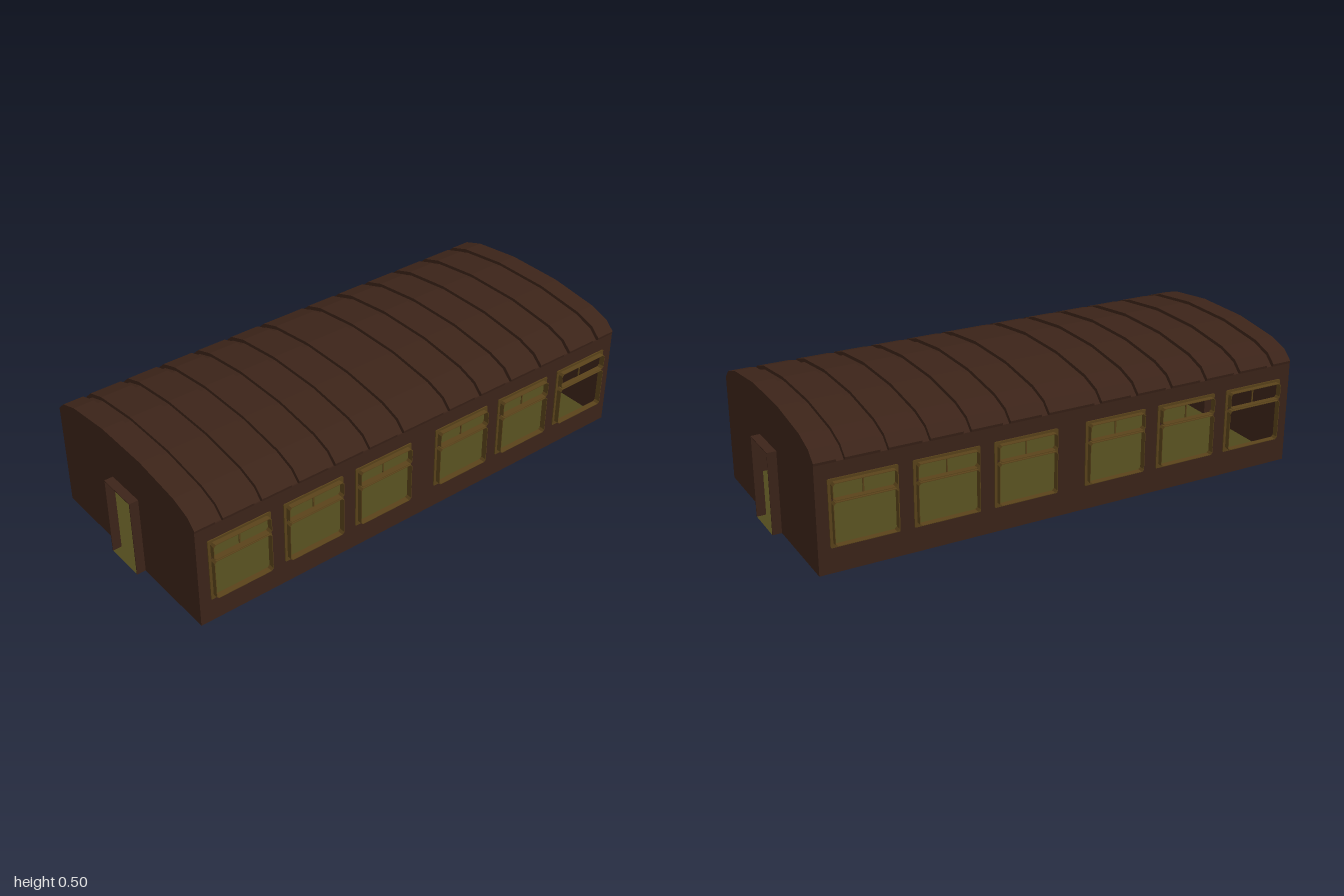
import * as THREE from 'three';

const mat = (color) => new THREE.MeshStandardMaterial({ color, flatShading: true, side: THREE.DoubleSide });

// Rectangle with small chamfered corners
function rect(cx, y0, y1, halfW, c, Kind = THREE.Path) {
  const a = cx - halfW, b = cx + halfW;
  const pts = [[a + c, y0], [b - c, y0], [b, y0 + c], [b, y1 - c], [b - c, y1], [a + c, y1], [a, y1 - c], [a, y0 + c]];
  return new Kind(pts.map(([x, y]) => new THREE.Vector2(x, y)));
}

export function createModel() {
  const model = new THREE.Group();
  const brown = mat(0x3c2419), brass = mat(0x5a431a), olive = mat(0x50491c);
  const L = 0.965, W = 0.435, doorW = 0.08, doorH = 0.312;
  const add = (parent, name, geo, material) => {
    const m = new THREE.Mesh(geo, material);
    m.name = name;
    parent.add(m);
    return m;
  };

  // Half roof section as [z, y], eave to crown, then mirrored
  const half = [[W, 0.4], [0.437, 0.41], [0.4, 0.445], [0.32, 0.472], [0.12, 0.497]];
  const outer = [...half, ...half.slice().reverse().map(([z, y]) => [-z, y])];
  const inner = outer.map(([z, y], i) => (i === 0 || i === outer.length - 1 ? [z, y] : [z * 0.975, y - 0.012]));

  // Roof: sections lofted along x, dropping into narrow grooves
  const stations = [[-L, outer]];
  for (const x of [-0.87, -0.715, -0.563, -0.41, -0.26, -0.107, 0.107, 0.26, 0.41, 0.563, 0.715, 0.87]) {
    stations.push([x - 0.015, outer], [x - 0.015, inner], [x + 0.015, inner], [x + 0.015, outer]);
  }
  stations.push([L, outer]);
  const pos = [], idx = [], n = outer.length;
  stations.forEach(([x, section], s) => {
    section.forEach(([z, y], i) => {
      pos.push(x, y, z);
      if (s && i) {
        const a = (s - 1) * n + i - 1, b = s * n + i - 1;
        idx.push(a, b, b + 1, a, b + 1, a + 1);
      }
    });
  });
  const roof = new THREE.BufferGeometry();
  roof.setAttribute('position', new THREE.Float32BufferAttribute(pos, 3));
  roof.setIndex(idx);
  roof.computeVertexNormals();
  add(model, 'roof', roof, brown);

  // Side walls with windows
  const windows = [-0.795, -0.49, -0.183, 0.183, 0.49, 0.795];
  const panes = [[0.107, 0.266], [0.273, 0.335]];
  for (const side of [0, 1]) {
    const wall = new THREE.Group();
    wall.name = side ? 'backSide' : 'frontSide';
    wall.rotation.y = side * Math.PI;
    model.add(wall);

    const shape = rect(0, 0, 0.402, L, 0, THREE.Shape);
    for (const x of windows) for (const [a, b] of panes) shape.holes.push(rect(x, a, b, 0.115, 0.008));
    add(wall, 'sideWall', new THREE.ShapeGeometry(shape), brown).position.z = W;

    for (const x of windows) {
      // Flat surround against the wall
      const trim = rect(x, 0.095, 0.345, 0.126, 0.003, THREE.Shape);
      trim.holes.push(rect(x, 0.107, 0.335, 0.115, 0.008));
      add(wall, 'windowTrim', new THREE.ExtrudeGeometry(trim, { depth: 0.004, bevelEnabled: false }), brass).position.z = W;
      // Projecting sleeve around each pane
      for (const [a, b] of panes) {
        const sleeve = rect(x, a - 0.001, b + 0.001, 0.116, 0.008, THREE.Shape);
        sleeve.holes.push(rect(x, a + 0.001, b - 0.001, 0.114, 0.008));
        add(wall, 'windowSleeve', new THREE.ExtrudeGeometry(sleeve, { depth: 0.023, bevelEnabled: false }), brass).position.z = W;
      }
      // Upright dividing the upper pane
      add(wall, 'windowMullion', new THREE.BoxGeometry(0.005, 0.062, 0.004), brass).position.set(x, 0.304, W);
    }
  }

  // End walls with doorways and projecting door surrounds
  for (const s of [-1, 1]) {
    const end = new THREE.Group();
    end.name = s > 0 ? 'leftEnd' : 'rightEnd';
    end.rotation.y = s * Math.PI / 2;
    model.add(end);
    const outline = [[W, 0], ...outer, [-W, 0], [-doorW, 0], [-doorW, doorH], [doorW, doorH], [doorW, 0]];
    const shape = new THREE.Shape(outline.map(([z, y]) => new THREE.Vector2(z, y)));
    add(end, 'endWall', new THREE.ShapeGeometry(shape), brown).position.z = L;
    const t = 0.003, w = doorW + t, h = doorH + t;
    const surround = new THREE.Shape([[-w, 0], [-doorW, 0], [-doorW, doorH], [doorW, doorH], [doorW, 0], [w, 0], [w, h], [-w, h]]
      .map(([x, y]) => new THREE.Vector2(x, y)));
    add(end, 'doorSurround', new THREE.ExtrudeGeometry(surround, { depth: 1 - L, bevelEnabled: false }), brown).position.z = L;
  }

  // Floor sheet, running out through both doorways
  const q = [[L, -W], [L, -doorW], [1, -doorW], [1, doorW], [L, doorW], [L, W]];
  const floor = new THREE.Shape([...q, ...q.map(([x, z]) => [-x, -z])].map(([x, z]) => new THREE.Vector2(x, z)));
  add(model, 'floor', new THREE.ShapeGeometry(floor), olive).rotation.x = -Math.PI / 2;

  return model;
}
